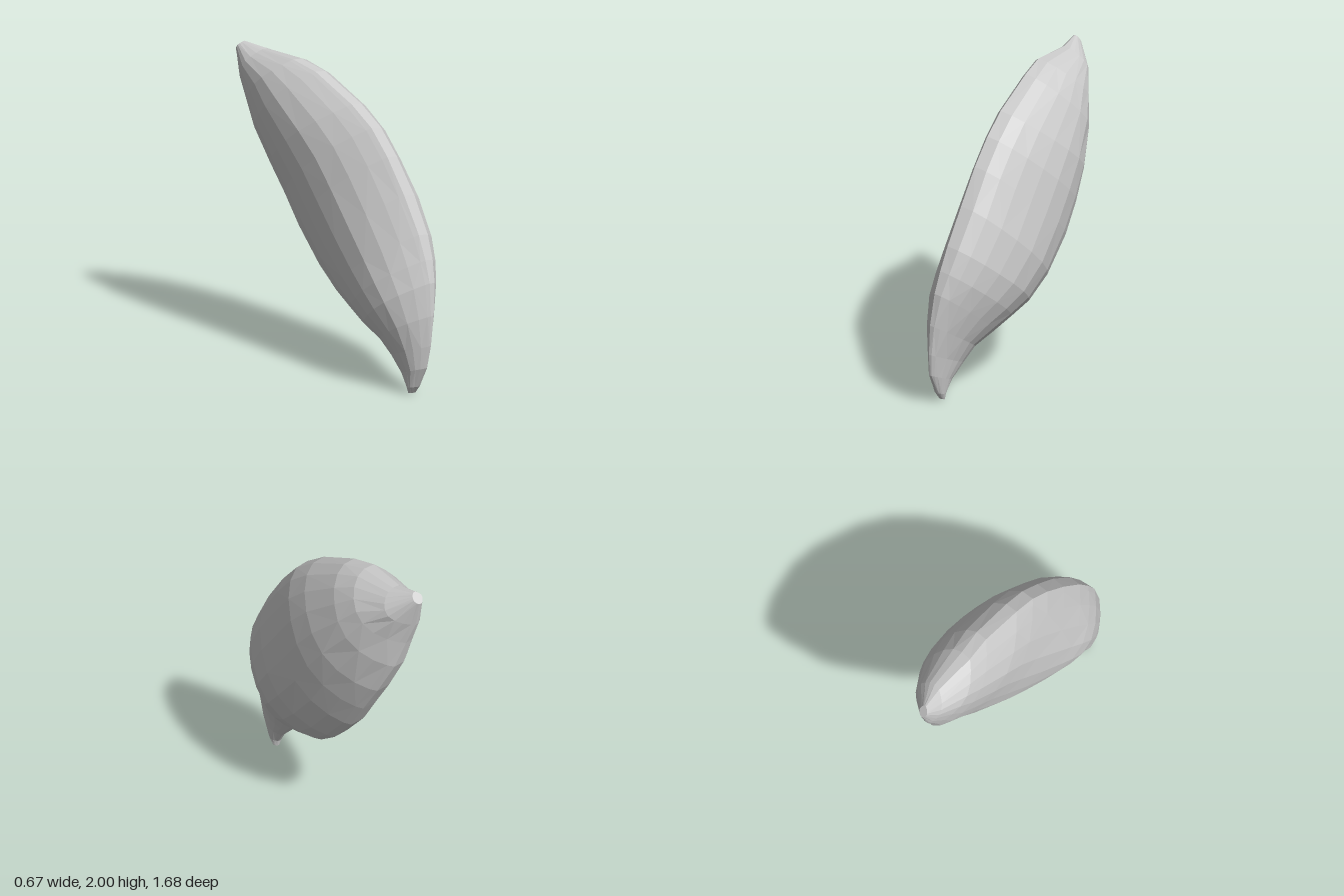
import * as THREE from 'three';

const SIDES = 20;

// Cross-sections from lower tip to upper tip: front edge z, y, x; back edge z, y, x; x of right face, x of left face
const sections = [
  [0.71, 0.01, 0.05, 0.67, 0.0, 0.04, 0.065, 0.02],
  [0.75, 0.06, 0.05, 0.66, 0.04, 0.04, 0.08, 0.005],
  [0.82, 0.2, 0.065, 0.6, 0.12, 0.04, 0.1, -0.01],
  [0.84, 0.35, 0.08, 0.5, 0.21, 0.045, 0.125, -0.04],
  [0.84, 0.55, 0.09, 0.41, 0.29, 0.045, 0.17, -0.09],
  [0.81, 0.76, 0.1, 0.26, 0.35, 0.045, 0.235, -0.145],
  [0.76, 0.9, 0.1, 0.12, 0.415, 0.045, 0.29, -0.168],
  [0.69, 1.05, 0.095, -0.03, 0.48, 0.045, 0.325, -0.183],
  [0.55, 1.28, 0.075, -0.2, 0.6, 0.03, 0.33, -0.208],
  [0.4, 1.5, 0.045, -0.4, 0.81, 0.0, 0.29, -0.235],
  [0.26, 1.66, 0.015, -0.52, 1.0, -0.03, 0.26, -0.262],
  [0.1, 1.78, -0.03, -0.63, 1.19, -0.08, 0.215, -0.295],
  [-0.2, 1.93, -0.11, -0.72, 1.41, -0.16, 0.12, -0.327],
  [-0.37, 1.975, -0.17, -0.76, 1.6, -0.22, 0.04, -0.337],
  [-0.65, 1.975, -0.22, -0.8, 1.75, -0.27, -0.09, -0.325],
  [-0.79, 2.0, -0.27, -0.84, 1.93, -0.28, -0.245, -0.31],
];

// Fullness of each quarter of a section: lower is fuller, higher is sharper
const fullness = (s, c) => (s > 0 ? (c > 0 ? 0.9 : 1.6) : c > 0 ? 2 : 0.75);

function podGeometry() {
  const pos = [], index = [];
  for (const [fz, fy, fx, bz, by, bx, right, left] of sections) {
    for (let j = 0; j < SIDES; j++) {
      const a = (j / SIDES) * Math.PI * 2;
      const c = Math.cos(a), s = Math.sin(a), t = (1 - c) / 2;
      const ridge = THREE.MathUtils.lerp(fx, bx, t);
      const w = Math.pow(Math.abs(s), fullness(s, c));
      pos.push(
        ridge + w * ((s > 0 ? right : left) - ridge),
        THREE.MathUtils.lerp(fy, by, t),
        THREE.MathUtils.lerp(fz, bz, t)
      );
    }
  }
  const last = sections.length - 1;
  for (let i = 0; i < last; i++) {
    for (let j = 0; j < SIDES; j++) {
      const k = (j + 1) % SIDES;
      const a = i * SIDES + j, b = i * SIDES + k, c = b + SIDES, d = a + SIDES;
      // Alternate the diagonals for an irregular faceted skin
      if ((i + j) % 2) index.push(a, b, c, a, c, d);
      else index.push(a, b, d, b, c, d);
    }
  }
  // Close both tips
  for (let j = 1; j < SIDES - 1; j++) {
    index.push(0, j + 1, j);
    const o = last * SIDES;
    index.push(o, o + j, o + j + 1);
  }
  const g = new THREE.BufferGeometry();
  g.setAttribute('position', new THREE.Float32BufferAttribute(pos, 3));
  g.setIndex(index);
  const flat = g.toNonIndexed();
  flat.computeVertexNormals();
  return flat;
}

export function createModel() {
  const group = new THREE.Group();
  group.name = 'seedPod';
  const material = new THREE.MeshStandardMaterial({ color: 0xcccccc });
  material.name = 'paleGrey';
  const pod = new THREE.Mesh(podGeometry(), material);
  pod.name = 'podBody';
  group.add(pod);
  return group;
}
